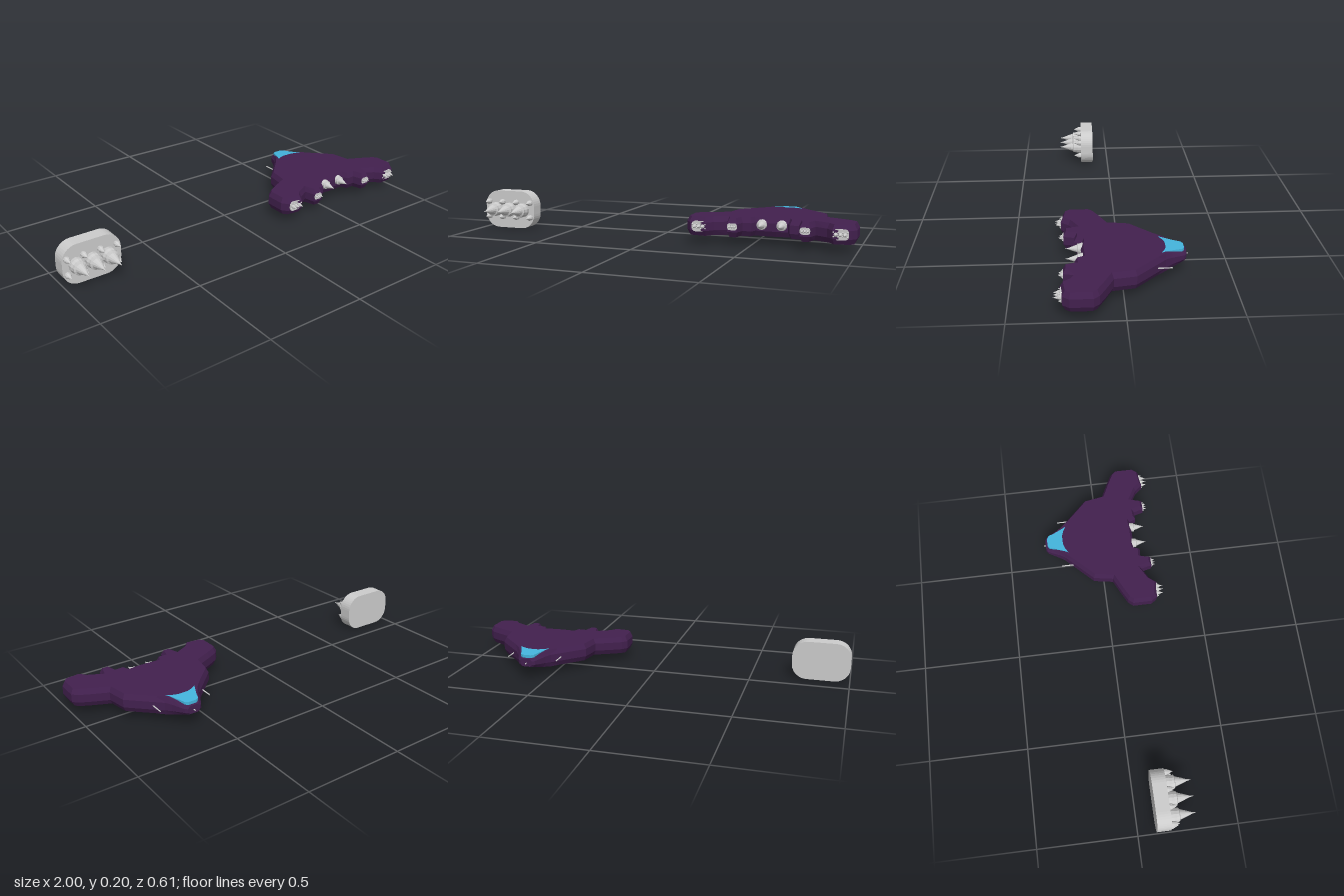
import * as THREE from 'three';

const mat = (color, side = THREE.FrontSide) =>
  new THREE.MeshStandardMaterial({ color, flatShading: true, side });
const grey = mat(0xcccccc);
const purple = mat(0x42204e);
const blue = mat(0x44b4dc, THREE.DoubleSide);

function add(parent, name, geometry, material, x = 0, y = 0, z = 0) {
  const mesh = new THREE.Mesh(geometry, material);
  mesh.name = name;
  mesh.position.set(x, y, z);
  parent.add(mesh);
  return mesh;
}

// Closed shape from half an outline, mirrored across x = 0
function mirroredShape(half) {
  const other = half.map(([x, y]) => [-x, y]).reverse();
  return new THREE.Shape([...half, ...other].map(([x, y]) => new THREE.Vector2(x, y)));
}

// Lathe turned so that its axis runs along +z
function latheZ(profile, sides) {
  return new THREE.LatheGeometry(profile.map(([r, h]) => new THREE.Vector2(r, h)), sides).rotateX(Math.PI / 2);
}

// Skin over bevelled sections running from +z to -z, closed at the front end
function loft(sections, bevel) {
  const rings = sections.map(([z, w, yb, yt]) => {
    const m = (yt - yb) * 0.28, i = w - bevel;
    return [[w, yb + m], [w, yt - m], [i, yt], [-i, yt], [-w, yt - m], [-w, yb + m], [-i, yb], [i, yb]]
      .map(([x, y]) => [x, y, z]);
  });
  const out = [];
  for (let s = 0; s < rings.length - 1; s++) {
    for (let j = 0; j < 8; j++) {
      const k = (j + 1) % 8;
      const a = rings[s][j], b = rings[s][k], c = rings[s + 1][j], d = rings[s + 1][k];
      out.push(...a, ...c, ...b, ...b, ...c, ...d);
    }
  }
  const end = rings[rings.length - 1];
  for (let k = 1; k < 7; k++) out.push(...end[0], ...end[k + 1], ...end[k]);
  const g = new THREE.BufferGeometry();
  g.setAttribute('position', new THREE.Float32BufferAttribute(out, 3));
  g.computeVertexNormals();
  return g;
}

// Stepped collar with a sharp flared spike
const thruster = latheZ([[0.001, -0.01], [0.036, -0.01], [0.038, 0.02], [0.034, 0.034], [0.034, 0.046], [0.026, 0.05],
  [0.014, 0.085], [0.005, 0.108], [0.0005, 0.13]], 14);
const smallThruster = latheZ([[0.015, -0.005], [0.015, 0.012], [0.009, 0.025], [0.0005, 0.042]], 10);

// Rounded block carrying three thrusters and two rows of small ones
function engineBank(name) {
  const group = new THREE.Group();
  group.name = name;
  const w = 0.1475, h = 0.1, r = 0.078;
  const s = new THREE.Shape();
  s.absarc(w - r, h - r, r, 0, Math.PI / 2);
  s.absarc(r - w, h - r, r, Math.PI / 2, Math.PI);
  s.absarc(r - w, r - h, r, Math.PI, Math.PI * 1.5);
  s.absarc(w - r, r - h, r, Math.PI * 1.5, Math.PI * 2);
  add(group, 'engineBlock', new THREE.ExtrudeGeometry(s, { depth: 0.07, bevelEnabled: false, curveSegments: 5 }), grey);
  for (const x of [-0.08, 0, 0.08]) add(group, 'thruster', thruster, grey, x, 0, 0.07);
  for (const x of [-0.125, -0.042, 0.042, 0.125])
    for (const y of [-0.04, 0.04]) add(group, 'smallThruster', smallThruster, grey, x, y, 0.07);
  return group;
}

export function createModel() {
  const model = new THREE.Group();
  model.name = 'shipAndEngine';

  // Separate large engine
  const engine = engineBank('looseEngine');
  engine.position.set(-0.8525, 0.1, 0.09);
  model.add(engine);

  const ship = new THREE.Group();
  ship.name = 'ship';
  ship.position.x = 0.595;
  model.add(ship);

  // Flat hull with swept wings and bevelled rim
  const outline = [[0.095, -0.195], [0.235, -0.055], [0.252, 0.045], [0.33, 0.082], [0.383, 0.11],
    [0.405, 0.135], [0.405, 0.235], [0.383, 0.265], [0.30, 0.275], [0.27, 0.238], [0.212, 0.205],
    [0.198, 0.262], [0.148, 0.262], [0.135, 0.21], [0.092, 0.212], [0.078, 0.178], [0.02, 0.182]];
  const hull = new THREE.ExtrudeGeometry(mirroredShape(outline), {
    depth: 0.04, bevelEnabled: true, bevelThickness: 0.026, bevelSize: 0.013, bevelOffset: -0.013, bevelSegments: 1,
  });
  hull.rotateX(Math.PI / 2).translate(0, 0.109, 0);
  add(ship, 'hull', hull, purple);

  // Tapered nose
  add(ship, 'nose', loft([
    [-0.16, 0.125, 0.043, 0.135], [-0.195, 0.094, 0.043, 0.135], [-0.225, 0.075, 0.051, 0.128],
    [-0.265, 0.055, 0.062, 0.118], [-0.285, 0.044, 0.067, 0.113], [-0.294, 0.032, 0.07, 0.111],
  ], 0.012), purple);

  // Canopy wrapping the nose, its top sloping down to the front
  const canopy = new THREE.ExtrudeGeometry(mirroredShape([
    [0.02, -0.284], [0.036, -0.274], [0.048, -0.24], [0.064, -0.205], [0.078, -0.176], [0.05, -0.192], [0.025, -0.2],
  ]), { depth: 0.03, bevelEnabled: false });
  canopy.rotateX(Math.PI / 2);
  const p = canopy.attributes.position;
  for (let i = 0; i < p.count; i++) {
    const t = (p.getZ(i) + 0.284) / 0.108;
    p.setY(i, p.getY(i) < -0.01 ? 0.107 : 0.1285 + 0.008 * t);
  }
  canopy.computeVertexNormals();
  add(ship, 'canopy', canopy, blue);

  // Guns: one in the nose, one on each shoulder
  const gun = latheZ([[0.0005, -0.09], [0.0028, -0.09], [0.0035, -0.012], [0.0055, -0.008], [0.0055, 0.04]], 8);
  const noseGun = new THREE.CylinderGeometry(0.003, 0.003, 0.05, 8).rotateX(Math.PI / 2);
  add(ship, 'noseGun', noseGun, grey, 0, 0.088, -0.28);

  // Paired guns and rear engines
  for (const side of [-1, 1]) {
    add(ship, 'shoulderGun', gun, grey, side * 0.133, 0.088, -0.13);
    add(ship, 'centreEngine', thruster, grey, side * 0.048, 0.1, 0.165).scale.setScalar(0.68);
    const wing = engineBank('wingEngine');
    wing.position.set(side * 0.335, 0.09, 0.254);
    wing.scale.setScalar(0.255);
    ship.add(wing);
    const inner = engineBank('innerEngine');
    inner.position.set(side * 0.173, 0.095, 0.252);
    inner.scale.setScalar(0.165);
    ship.add(inner);
  }
  return model;
}
